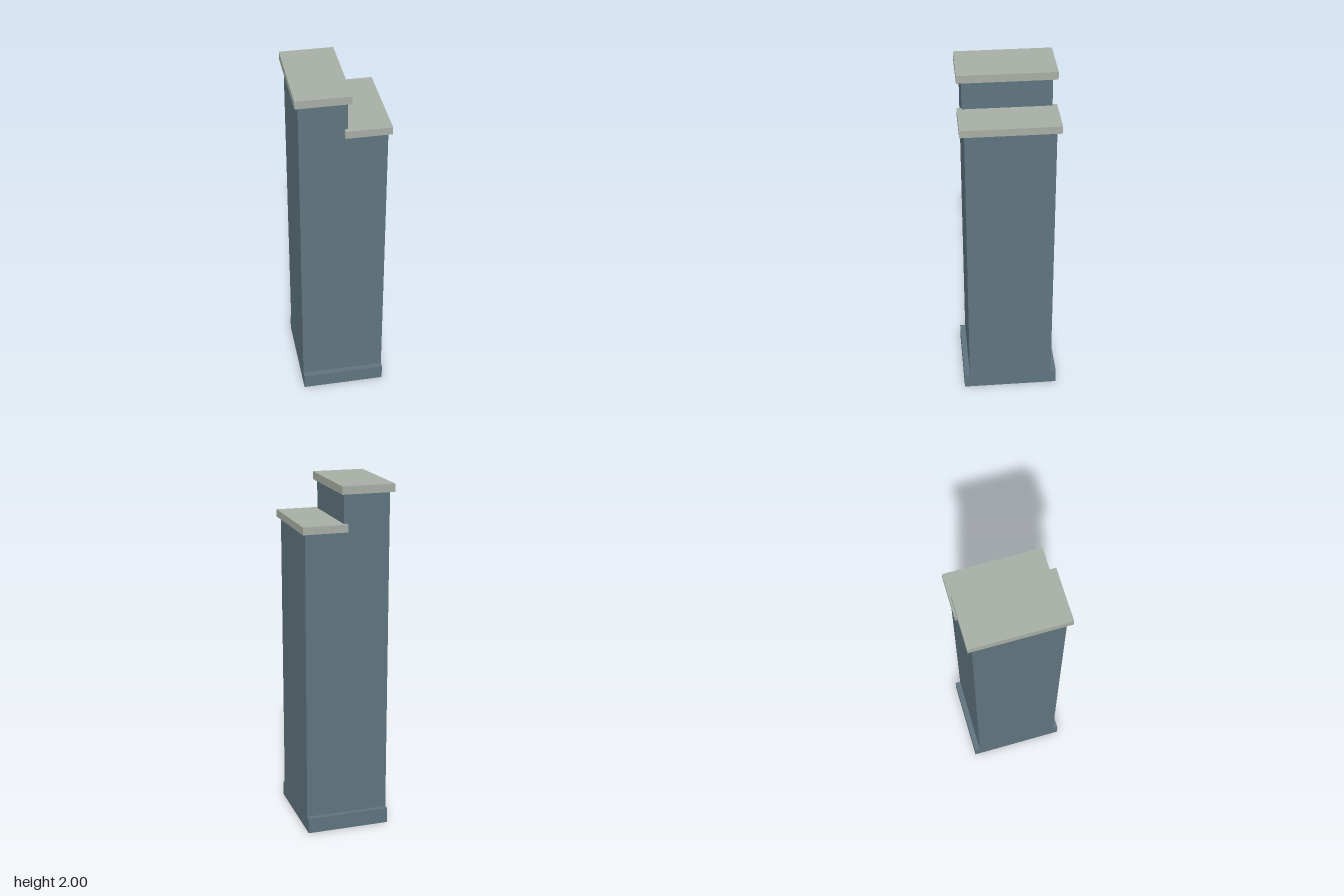
import * as THREE from 'three';

export function createModel() {
  const group = new THREE.Group();
  group.name = 'steppedPillar';

  const paint = new THREE.MeshStandardMaterial({ name: 'slate blue', color: 0x5f747e });
  const stone = new THREE.MeshStandardMaterial({ name: 'pale stone', color: 0xa7aea5 });

  // Box given by its x and y extents, centred on z
  const block = (name, material, x0, x1, y0, y1, depth) => {
    const mesh = new THREE.Mesh(new THREE.BoxGeometry(x1 - x0, y1 - y0, depth), material);
    mesh.position.set((x0 + x1) / 2, (y0 + y1) / 2, 0);
    mesh.name = name;
    group.add(mesh);
  };

  // Plinth, wider at front and back only
  block('plinth', paint, -0.24, 0.24, 0, 0.09, 0.555);

  // Shaft with a step at the top, extruded from front to back
  const depth = 0.492;
  const profile = new THREE.Shape([
    [-0.24, 0.09], [0.24, 0.09], [0.24, 1.75], [0.022, 1.75], [0.022, 1.955], [-0.24, 1.955],
  ].map(([x, y]) => new THREE.Vector2(x, y)));
  const shaftGeometry = new THREE.ExtrudeGeometry(profile, { depth, bevelEnabled: false });
  shaftGeometry.translate(0, 0, -depth / 2);
  const shaft = new THREE.Mesh(shaftGeometry, paint);
  shaft.name = 'shaft';
  group.add(shaft);

  // Overhanging cap slabs
  block('upperCap', stone, -0.26, 0.04, 1.955, 2, 0.545);
  block('lowerCap', stone, 0.005, 0.258, 1.75, 1.792, 0.545);

  return group;
}
